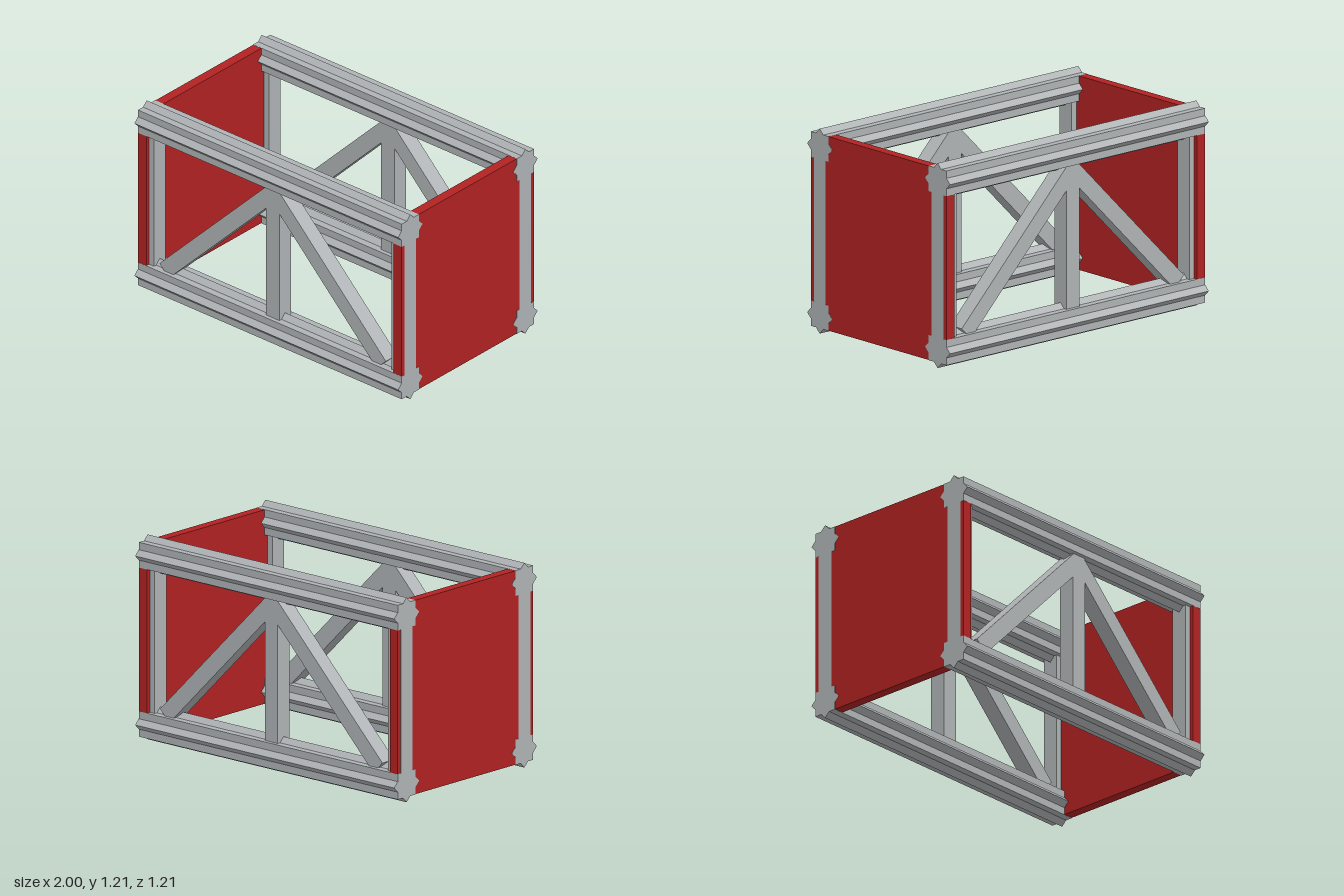
import * as THREE from 'three';

const RAIL_Z = 0.5, LOW_Y = 0.106, HIGH_Y = 1.108;

export function createModel() {
  const model = new THREE.Group();
  model.name = 'trussFrame';
  const steel = new THREE.MeshStandardMaterial({ color: 0xb0b4b6 });
  steel.name = 'greySteel';
  const red = new THREE.MeshStandardMaterial({ color: 0xb22222 });
  red.name = 'redPanel';

  function add(name, geometry, material, x, y, z, tilt = 0) {
    const mesh = new THREE.Mesh(geometry, material);
    mesh.name = name;
    mesh.position.set(x, y, z);
    mesh.rotation.z = tilt;
    model.add(mesh);
  }

  // Rail profile: a square joined with the same square turned 45 degrees
  const outer = 0.075 * Math.SQRT2;
  const inner = 0.075 / Math.cos(Math.PI / 8);
  const star = new THREE.Shape();
  for (let i = 0; i < 16; i++) {
    const r = i % 2 ? inner : outer;
    const a = (i * Math.PI) / 8;
    if (i) star.lineTo(r * Math.cos(a), r * Math.sin(a));
    else star.moveTo(r, 0);
  }
  star.closePath();
  const railGeometry = new THREE.ExtrudeGeometry(star, { depth: 2, bevelEnabled: false });
  railGeometry.translate(0, 0, -1).rotateY(Math.PI / 2);

  const postGeometry = new THREE.BoxGeometry(0.1, HIGH_Y - LOW_Y, 0.1);
  const midY = (LOW_Y + HIGH_Y) / 2;

  // Diagonal brace runs at 45 degrees from the lower rail to the apex
  const foot = new THREE.Vector2(-0.823, 0.181);
  const apex = new THREE.Vector2(0, 1.004);
  const braceGeometry = new THREE.BoxGeometry(foot.distanceTo(apex), 0.1, 0.1);
  const braceMid = foot.clone().add(apex).multiplyScalar(0.5);

  // Two matching side trusses
  for (const side of [-1, 1]) {
    const z = side * RAIL_Z;
    add('lowerRail', railGeometry, steel, 0, LOW_Y, z);
    add('upperRail', railGeometry, steel, 0, HIGH_Y, z);
    for (const x of [-0.95, 0, 0.95]) {
      add(x ? 'cornerPost' : 'centrePost', postGeometry, steel, x, midY, z);
    }
    for (const s of [-1, 1]) {
      add('diagonalBrace', braceGeometry, steel, -s * braceMid.x, braceMid.y, z, -s * Math.PI / 4);
    }
  }

  // End panels, set a hair inside the rail ends and posts
  const panelGeometry = new THREE.BoxGeometry(0.061, 1.15, 1.148);
  for (const s of [-1, 1]) add('endPanel', panelGeometry, red, s * 0.968, midY, 0);

  return model;
}
